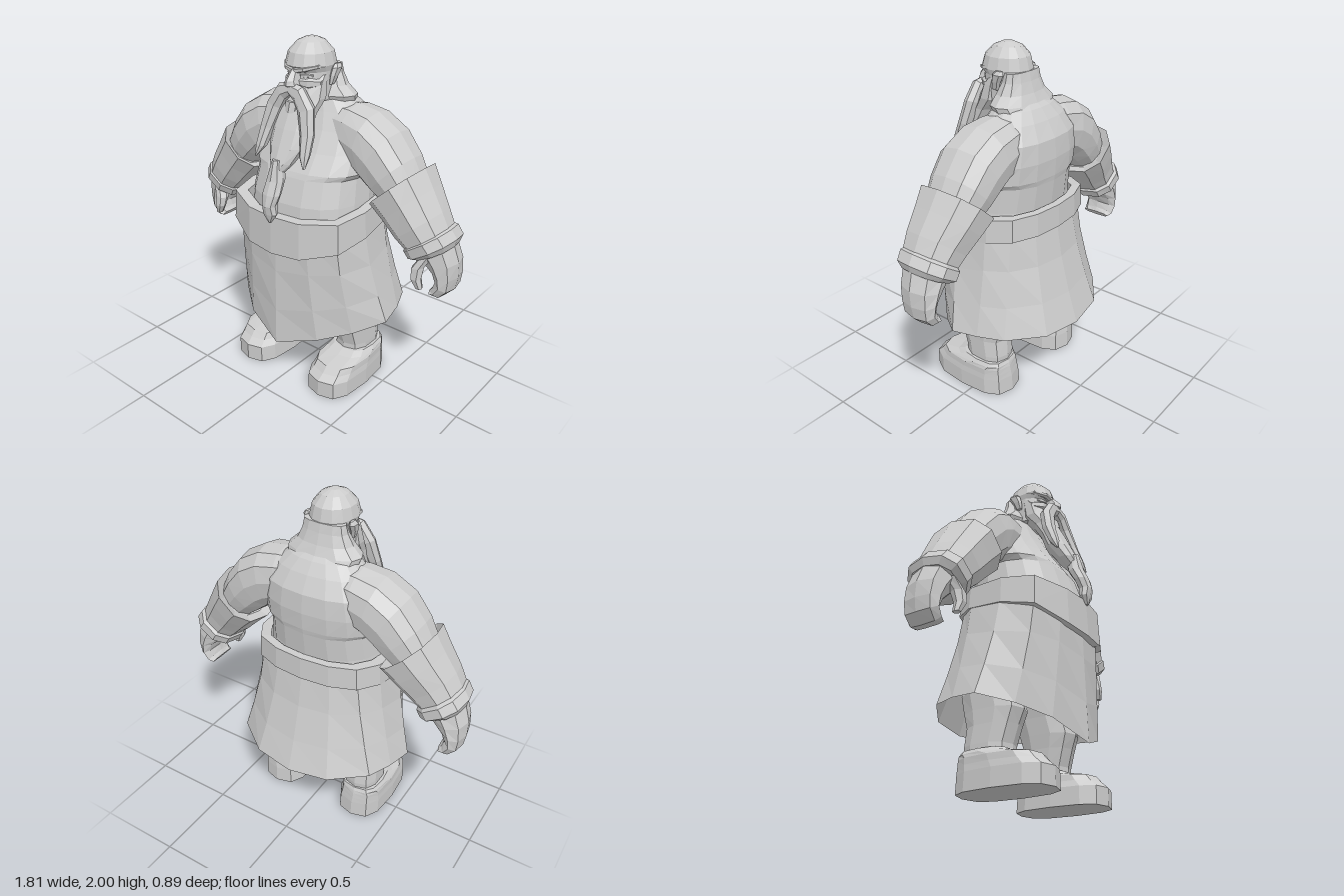
import * as THREE from 'three';

const V = (x, y, z) => new THREE.Vector3(x, y, z);

// Skins a stack of closed rings; faces always end up pointing outwards.
function loft(rings, { caps = true, closed = false } = {}) {
  const n = rings[0].length, pos = [];
  const tri = (a, b, c) => pos.push([a, b, c]);
  const last = closed ? rings.length : rings.length - 1;
  for (let i = 0; i < last; i++) {
    const r = rings[i], q = rings[(i + 1) % rings.length];
    for (let j = 0; j < n; j++) {
      const k = (j + 1) % n;
      tri(r[j], r[k], q[k]);
      tri(r[j], q[k], q[j]);
    }
  }
  if (caps && !closed) {
    const mid = r => r.reduce((s, p) => s.add(p), V(0, 0, 0)).divideScalar(n);
    const a = rings[0], b = rings[rings.length - 1], ca = mid(a), cb = mid(b);
    for (let j = 0; j < n; j++) {
      const k = (j + 1) % n;
      tri(ca, a[k], a[j]);
      tri(cb, b[j], b[k]);
    }
  }
  let volume = 0;
  for (const [a, b, c] of pos) volume += a.dot(b.clone().cross(c));
  const pts = pos.flatMap(([a, b, c]) => (volume < 0 ? [a, c, b] : [a, b, c]));
  const geo = new THREE.BufferGeometry().setFromPoints(pts);
  geo.computeVertexNormals();
  return geo;
}

// Rounded-box outline value: exponent below 1 makes the ring squarer.
const soft = (v, e) => Math.sign(v) * Math.pow(Math.abs(v), e);

// Horizontal rings: [y, half width, front z, back z, centre x]
function stack(rows, n = 12, e = 0.85, s = 1) {
  return loft(rows.map(([y, rx, f, b, cx = 0]) => Array.from({ length: n }, (_, i) => {
    const a = (i / n) * Math.PI * 2;
    return V(s * (cx + rx * soft(Math.sin(a), e)), y, (f + b) / 2 + (f - b) / 2 * soft(Math.cos(a), e));
  })));
}

// Limb rings: [x, y, z, tilt in degrees, radius across, radius in z]
function limb(rows, n = 10, s = 1, e = 0.85) {
  return loft(rows.map(([x, y, z, tilt, ru, rz]) => {
    const t = THREE.MathUtils.degToRad(tilt);
    return Array.from({ length: n }, (_, i) => {
      const a = (i / n) * Math.PI * 2, u = ru * soft(Math.cos(a), e);
      return V(s * (x + u * Math.cos(t)), y + u * Math.sin(t), z + rz * soft(Math.sin(a), e));
    });
  }));
}

// Completes a left half outline, front centre to back centre, into a full ring.
function mirrorRing(half) {
  const right = half.slice(1, -1).reverse().map(([x, y, z]) => [-x, y, z]);
  return [...half, ...right].map(p => V(...p));
}

export function createModel() {
  const model = new THREE.Group();
  model.name = 'beardedStrongman';
  const stone = new THREE.MeshStandardMaterial({ color: 0xcccccc, flatShading: true, side: THREE.DoubleSide });
  stone.name = 'pale grey';
  const add = (name, geo) => {
    const mesh = new THREE.Mesh(geo, stone);
    mesh.name = name;
    model.add(mesh);
  };

  // Torso with a heavy belly and chest fold
  add('torso', stack([
    [1.0, 0.36, 0.35, -0.26], [1.15, 0.345, 0.335, -0.25], [1.29, 0.33, 0.29, -0.265],
    [1.32, 0.36, 0.275, -0.27], [1.42, 0.355, 0.205, -0.275], [1.53, 0.33, 0.14, -0.265],
    [1.62, 0.27, 0.095, -0.215], [1.68, 0.2, 0.07, -0.17], [1.72, 0.12, 0.06, -0.12],
  ], 18));

  // Apron skirt, flaring towards its hem and open below
  const skirtTop = [[0, 1, 0.375], [0.2, 1, 0.355], [0.35, 1, 0.28], [0.41, 1, 0.1],
    [0.39, 1.05, -0.1], [0.31, 1.05, -0.21], [0.17, 1.05, -0.27], [0, 1.05, -0.29]];
  const skirtHem = [[0, 0.27, 0.39], [0.25, 0.352, 0.32], [0.41, 0.405, 0.2], [0.53, 0.45, 0.04],
    [0.5, 0.465, -0.12], [0.44, 0.47, -0.27], [0.24, 0.455, -0.415], [0, 0.44, -0.45]];
  const skirtRow = t => mirrorRing(skirtTop.map((p, i) =>
    p.map((v, k) => v + (skirtHem[i][k] - v) * (k === 1 ? t : Math.pow(t, 1.35)))));
  add('skirt', loft([0, 0.35, 0.7, 1].map(skirtRow), { caps: false }));

  // Wide belt, deeper at the front
  const beltPlan = [[0, 0.405], [0.18, 0.385], [0.375, 0.295], [0.415, 0.11],
    [0.39, -0.11], [0.315, -0.23], [0.17, -0.285], [0, -0.3]];
  const beltTop = [1.09, 1.09, 1.11, 1.13, 1.14, 1.15, 1.15, 1.15];
  const beltBottom = [0.87, 0.88, 0.94, 0.98, 1.01, 1.02, 1.02, 1.02];
  const beltRing = (ys, k) => mirrorRing(beltPlan.map(([x, z], i) => [x * k, ys[i], z * k]));
  add('belt', loft([beltRing(beltBottom, 0.9), beltRing(beltBottom, 1.02),
    beltRing(beltTop, 1), beltRing(beltTop, 0.85)], { closed: true }));

  // Bald head, and hair falling to the shoulders
  add('head', stack([
    [1.68, 0.12, 0.15, -0.08], [1.74, 0.12, 0.175, -0.085], [1.8, 0.122, 0.185, -0.085],
    [1.835, 0.122, 0.18, -0.085], [1.865, 0.13, 0.205, -0.085], [1.93, 0.115, 0.185, -0.07],
    [1.98, 0.072, 0.135, -0.025], [2.0, 0.028, 0.085, 0.025],
  ], 14, 0.95));
  add('hair', stack([
    [1.64, 0.2, 0.05, -0.18], [1.7, 0.22, 0.07, -0.145], [1.75, 0.165, 0.06, -0.12],
    [1.81, 0.135, 0.03, -0.1], [1.86, 0.125, 0.01, -0.088],
  ], 12));

  // Face
  add('nose', stack([[1.75, 0.025, 0.22, 0.15], [1.775, 0.042, 0.262, 0.15],
    [1.8, 0.032, 0.258, 0.15], [1.855, 0.018, 0.212, 0.15]], 6));

  // Full beard narrowing to a point, with a braid hanging below
  add('beard', stack([
    [1.31, 0.02, 0.38, 0.3], [1.38, 0.075, 0.36, 0.24], [1.46, 0.115, 0.325, 0.18],
    [1.55, 0.12, 0.285, 0.15], [1.63, 0.12, 0.245, 0.1], [1.7, 0.135, 0.21, 0.03],
    [1.78, 0.13, 0.17, 0.03], [1.82, 0.126, 0.12, 0.04],
  ], 10, 1));
  add('beardBraid', stack([
    [1.06, 0.008, 0.42, 0.4], [1.11, 0.045, 0.435, 0.375], [1.16, 0.038, 0.445, 0.37],
    [1.22, 0.055, 0.43, 0.35], [1.29, 0.05, 0.4, 0.31], [1.4, 0.025, 0.37, 0.29],
  ], 8));
  add('lowerLip', stack([[1.63, 0.04, 0.25, 0.15], [1.685, 0.05, 0.235, 0.15]], 8));

  for (const [side, s] of [['left', 1], ['right', -1]]) {
    add(side + 'Brow', limb([[0.005, 1.845, 0.195, 90, 0.014, 0.018],
      [0.06, 1.855, 0.183, 90, 0.014, 0.02], [0.115, 1.868, 0.125, 90, 0.01, 0.02]], 6, s));
    add(side + 'Eye', limb([[0.03, 1.82, 0.172, 90, 0.008, 0.012],
      [0.055, 1.82, 0.165, 90, 0.012, 0.012], [0.085, 1.82, 0.142, 90, 0.006, 0.012]], 6, s));
    add(side + 'Cheek', limb([[0.025, 1.785, 0.175, 90, 0.02, 0.025],
      [0.075, 1.78, 0.155, 90, 0.028, 0.03], [0.12, 1.78, 0.1, 90, 0.02, 0.03]], 6, s));
    add(side + 'Ear', stack([[1.765, 0.01, 0.06, 0.02, 0.125], [1.81, 0.018, 0.06, 0, 0.132],
      [1.85, 0.02, 0.05, -0.025, 0.138], [1.87, 0.008, 0.03, -0.02, 0.135]], 6, 0.85, s));
    add(side + 'Moustache', limb([
      [0, 1.755, 0.22, 90, 0.035, 0.032], [0.055, 1.735, 0.222, 60, 0.048, 0.036],
      [0.105, 1.66, 0.225, 20, 0.05, 0.04], [0.137, 1.54, 0.255, 10, 0.04, 0.038],
      [0.152, 1.44, 0.295, 10, 0.029, 0.03], [0.17, 1.38, 0.325, 10, 0.006, 0.008]], 7, s));

    // Arm, sleeve guard flaring up to the elbow, and wrist band
    add(side + 'UpperArm', limb([
      [0.1, 1.52, -0.05, 90, 0.14, 0.14], [0.23, 1.5, -0.05, 86, 0.163, 0.165],
      [0.33, 1.475, -0.045, 76, 0.172, 0.18], [0.42, 1.42, -0.04, 58, 0.168, 0.185],
      [0.5, 1.335, -0.04, 46, 0.15, 0.175], [0.58, 1.24, -0.04, 42, 0.12, 0.15]], 12, s));
    add(side + 'ForearmGuard', limb([
      [0.56, 1.255, -0.04, 42, 0.13, 0.16], [0.535, 1.28, -0.045, 42, 0.18, 0.215],
      [0.605, 1.195, -0.04, 42, 0.163, 0.195], [0.68, 1.1, -0.03, 39, 0.148, 0.172],
      [0.735, 1.03, -0.03, 36, 0.13, 0.155]], 10, s));
    add(side + 'WristBand', limb([
      [0.725, 1.045, -0.035, 36, 0.125, 0.15], [0.735, 1.03, -0.035, 35, 0.143, 0.17],
      [0.765, 0.985, -0.04, 33, 0.145, 0.165], [0.78, 0.965, -0.04, 30, 0.11, 0.13]], 10, s));

    // Curled hand with thumb
    add(side + 'Hand', limb([
      [0.77, 0.99, -0.04, 30, 0.11, 0.12], [0.815, 0.915, -0.05, 8, 0.09, 0.115],
      [0.84, 0.85, -0.055, -10, 0.065, 0.11], [0.845, 0.79, -0.055, -28, 0.052, 0.105],
      [0.815, 0.745, -0.055, -48, 0.04, 0.1], [0.785, 0.735, -0.055, -55, 0.02, 0.09]], 8, s));
    add(side + 'Thumb', limb([
      [0.77, 0.97, 0.04, 20, 0.04, 0.05], [0.735, 0.9, 0.075, 10, 0.036, 0.04],
      [0.735, 0.84, 0.09, 0, 0.03, 0.032], [0.755, 0.785, 0.085, 0, 0.018, 0.022]], 6, s));

    // Leg and blocky boot with a stepped toe
    add(side + 'Leg', stack([
      [0.17, 0.105, 0.11, -0.16, 0.285], [0.24, 0.105, 0.11, -0.165, 0.285],
      [0.34, 0.108, 0.14, -0.155, 0.28], [0.42, 0.115, 0.17, -0.18, 0.275],
      [0.52, 0.125, 0.15, -0.2, 0.27], [0.85, 0.14, 0.16, -0.18, 0.22]], 10, 0.8, s));
    add(side + 'Boot', stack([
      [0, 0.15, 0.35, -0.2, 0.282], [0.1, 0.148, 0.35, -0.195, 0.284],
      [0.135, 0.14, 0.31, -0.19, 0.288], [0.17, 0.138, 0.28, -0.185, 0.29],
      [0.19, 0.13, 0.17, -0.18, 0.29], [0.21, 0.118, 0.12, -0.17, 0.287]], 12, 0.7, s));
  }
  return model;
}
